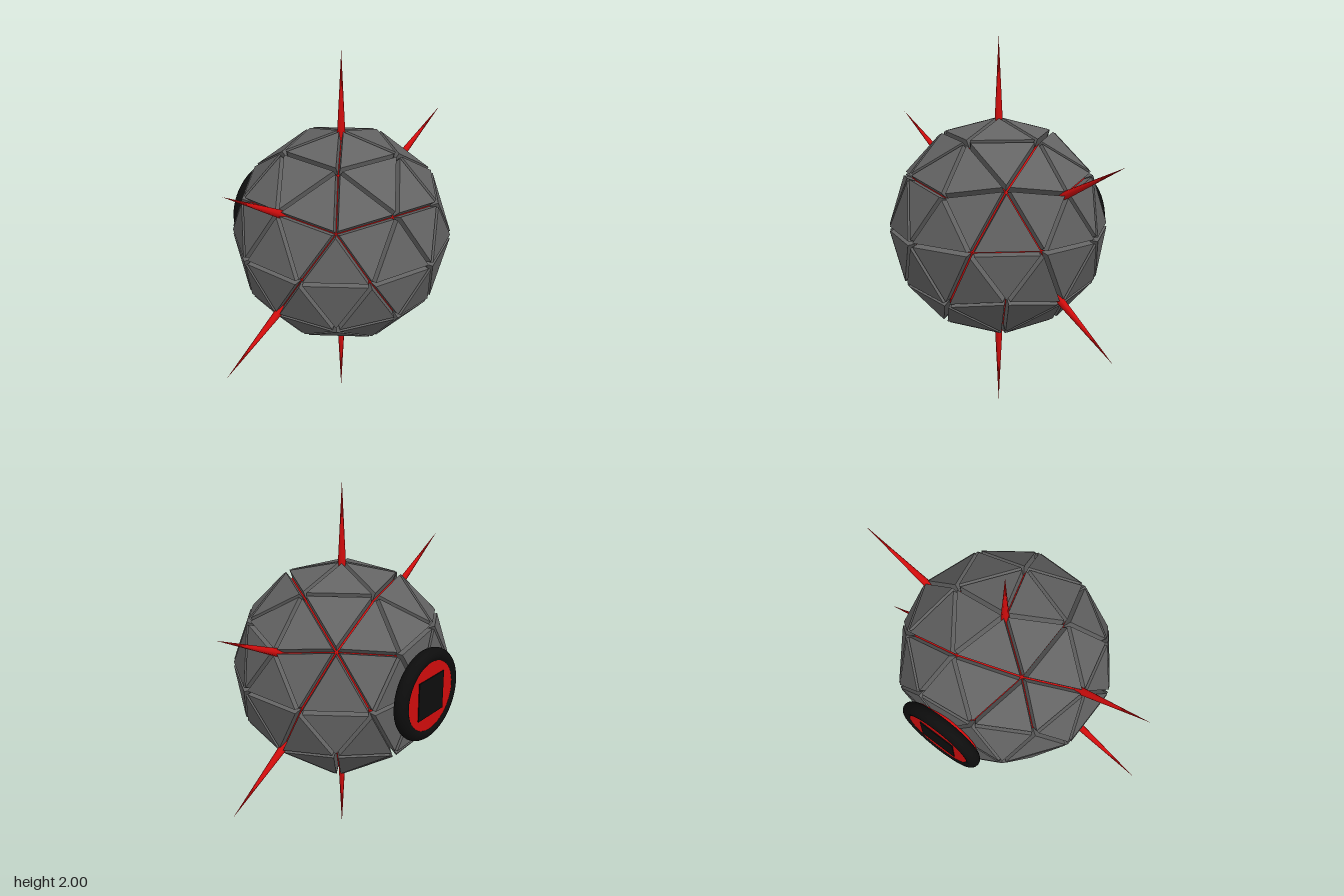
import * as THREE from 'three';

const CENTRE_Y = 1;
const V = (x, y, z) => new THREE.Vector3(x, y, z);

// Unit sphere of 80 triangles: a pole-up icosahedron with each face split in four.
function sphereFaces() {
  const pts = [V(0, 1, 0), V(0, -1, 0)];
  const c = 2 / Math.sqrt(5), s = 1 / Math.sqrt(5);
  for (let i = 0; i < 5; i++) {
    const a = (i * 2 * Math.PI) / 5, b = a + Math.PI / 5;
    pts.push(V(c * Math.cos(a), s, c * Math.sin(a)), V(c * Math.cos(b), -s, c * Math.sin(b)));
  }
  const near = (p, q) => p.distanceTo(q) < 1.1;
  const mid = (p, q) => p.clone().add(q).normalize();
  const faces = [];
  for (let i = 0; i < 12; i++) for (let j = i + 1; j < 12; j++) for (let k = j + 1; k < 12; k++) {
    let [p, q, r] = [pts[i], pts[j], pts[k]];
    if (!near(p, q) || !near(q, r) || !near(p, r)) continue;
    if (q.clone().cross(r).dot(p) < 0) [q, r] = [r, q];
    const pq = mid(p, q), qr = mid(q, r), rp = mid(r, p);
    faces.push([p, pq, rp], [q, qr, pq], [r, rp, qr], [pq, qr, rp]);
  }
  return faces;
}

// Scale a face to a radius, flattening the back where the hatch sits.
const place = (face, radius, backZ) => face.map((p) => {
  const q = p.clone().multiplyScalar(radius);
  q.z = Math.max(q.z, backZ);
  return q;
});

function triangles(list) {
  const g = new THREE.BufferGeometry().setFromPoints(list);
  g.computeVertexNormals();
  return g;
}

// A shrunken triangle given thickness inwards.
function plateCorners([a, b, c], shrink, depth) {
  const mid = a.clone().add(b).add(c).divideScalar(3);
  const n = b.clone().sub(a).cross(c.clone().sub(a)).normalize();
  const top = [a, b, c].map((p) => mid.clone().lerp(p, shrink));
  const low = top.map((p) => p.clone().addScaledVector(n, -depth));
  const out = [...top];
  for (let i = 0; i < 3; i++) {
    const j = (i + 1) % 3;
    out.push(top[i], low[i], low[j], top[i], low[j], top[j]);
  }
  return out;
}

export function createModel() {
  const model = new THREE.Group();
  const material = (name, color, flatShading = false) => {
    const m = new THREE.MeshStandardMaterial({ color, flatShading });
    m.name = name;
    return m;
  };
  const grey = material('plate grey', 0x646464, true);
  const red = material('glowing red', 0xd20c0c);
  const black = material('black', 0x0d0d0d);

  const add = (name, geometry, mat, x = 0, y = 0, z = 0) => {
    const mesh = new THREE.Mesh(geometry, mat);
    mesh.name = name;
    mesh.position.set(x, CENTRE_Y + y, z);
    model.add(mesh);
    return mesh;
  };

  // Red core and the armour plates around it
  const faces = sphereFaces();
  add('core', triangles(faces.flatMap((f) => place(f, 0.535, -0.455))), red);
  add('armourPlates', triangles(
    faces.flatMap((f) => plateCorners(place(f, 0.584, -0.505), 0.885, 0.06))), grey);

  // Six spikes in the x-y plane
  const up = V(0, 1, 0);
  const spikeAngles = [90, -90, 26.57, 148.28, 206.57, -31.72];
  const spikeShape = new THREE.ConeGeometry(0.024, 0.5, 8).translate(0, 0.75, 0);
  for (const deg of spikeAngles) {
    const a = THREE.MathUtils.degToRad(deg);
    add('spike', spikeShape, red).quaternion
      .setFromUnitVectors(up, V(Math.cos(a), Math.sin(a), 0));
  }

  // Round hatch on the back: rim, red disc and square plate
  add('hatchRim', new THREE.TorusGeometry(0.208, 0.0375, 16, 48), black, 0, 0, -0.5425);
  const disc = new THREE.CylinderGeometry(0.19, 0.19, 0.082, 48).rotateX(Math.PI / 2);
  add('hatchDisc', disc, red, 0, 0, -0.531);
  add('hatchSquare', new THREE.BoxGeometry(0.21, 0.21, 0.008), black, 0, 0, -0.573);

  return model;
}
